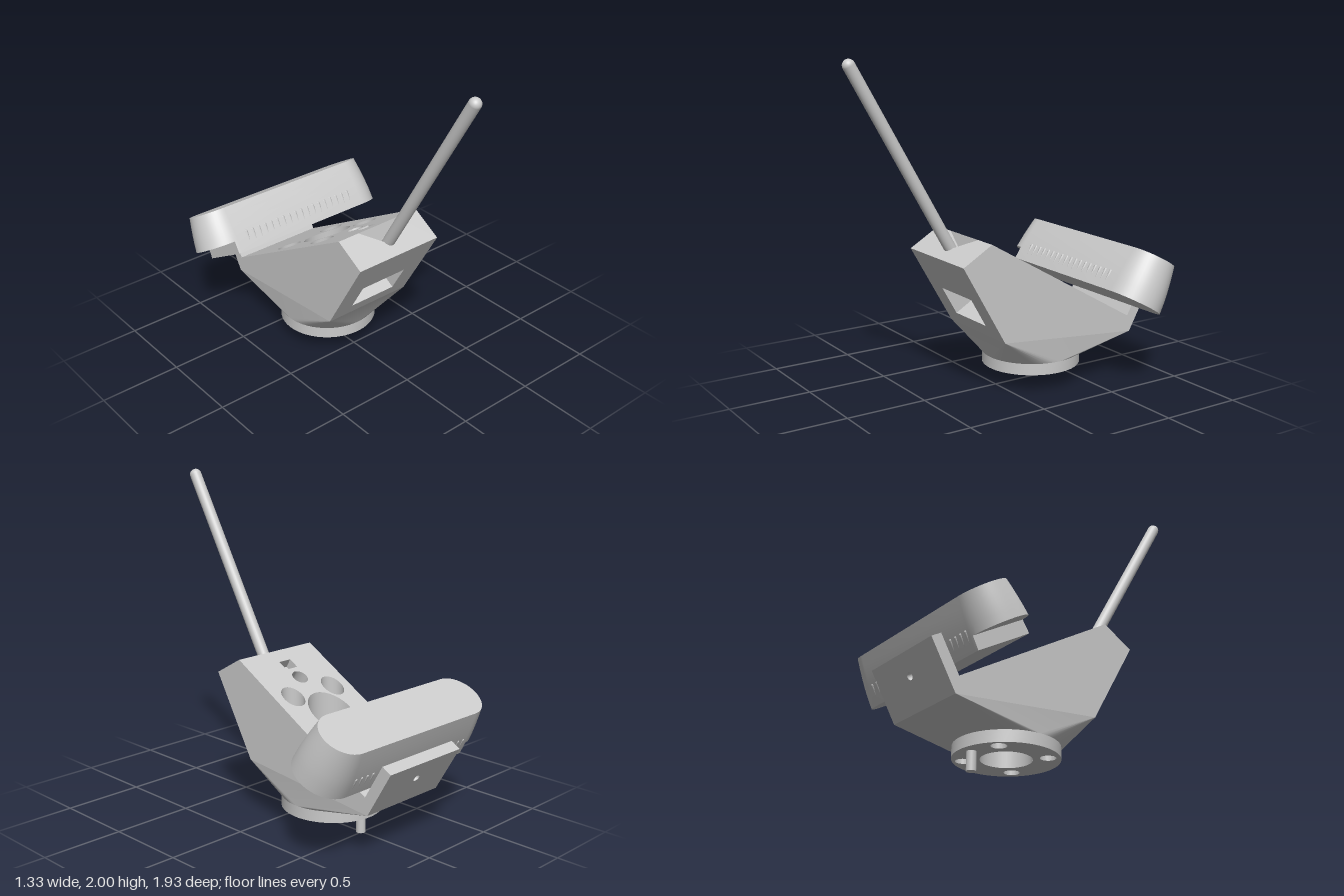
import * as THREE from 'three';
import { toCreasedNormals } from 'three/addons/utils/BufferGeometryUtils.js';

const V = (x, y, z) => new THREE.Vector3(x, y, z);
const mat = new THREE.MeshStandardMaterial({ color: 0xcccccc, side: THREE.DoubleSide });
const C30 = Math.cos(Math.PI / 6), S30 = 0.5, X = V(1, 0, 0);
const HW = 0.295;            // half width of the body
const BZ = -0.26;            // z of the base axis
// Body side profile corners (y, z)
const A = [0.845, 0.41], B = [0.955, 0.22], C = [0.378, -0.78], F = [0.275, -0.80], G = [0.36, 0.13];
const slopeY = z => B[0] - (B[1] - z) * S30 / C30;
const slopeS = z => (B[1] - z) / C30;

// Local frame: x stays x, z becomes the given normal
function frame(y, z, ny, nz) {
  const n = V(0, ny, nz);
  return new THREE.Matrix4().makeBasis(X, n.clone().cross(X), n).setPosition(0, y, z);
}
const slopeFrame = frame(B[0], B[1], C30, -S30);
const frontFrame = frame(G[0], G[1], -S30, C30);
const shoulderFrame = frame(A[0], A[1], C30, S30);
const cameraFrame = frame(0.53, -0.65, C30, -S30);

function fromTriangles(tris) {
  const good = tris.filter(([a, b, c]) => b.clone().sub(a).cross(c.clone().sub(a)).lengthSq() > 1e-14);
  const g = new THREE.BufferGeometry().setFromPoints(good.flat());
  g.computeVertexNormals();
  return toCreasedNormals(g, 0.5);
}

// Skin between successive closed loops, with optional end caps
function loft(loops, capStart, capEnd) {
  const t = [], n = loops[0].length;
  for (let k = 0; k + 1 < loops.length; k++)
    for (let i = 0; i < n; i++) {
      const j = (i + 1) % n, p = loops[k], q = loops[k + 1];
      t.push([p[i], p[j], q[j]], [p[i], q[j], q[i]]);
    }
  const cap = (l, flip) => {
    const mid = l.reduce((s, p) => s.add(p), V(0, 0, 0)).divideScalar(n);
    l.forEach((p, i) => t.push(flip ? [mid, l[(i + 1) % n], p] : [mid, p, l[(i + 1) % n]]));
  };
  if (capStart) cap(loops[0], true);
  if (capEnd) cap(loops[loops.length - 1], false);
  return fromTriangles(t);
}

// Horizontal-plan circle whose height follows a rule
const circle = (r, x, z, yOf, n = 40) => Array.from({ length: n }, (_, i) => {
  const a = i / n * Math.PI * 2, pz = z + r * Math.cos(a);
  return V(x + r * Math.sin(a), yOf(pz), pz);
});
const poly = pts => new THREE.Shape(pts.map(p => new THREE.Vector2(...p)));
const rect = (w, y0, y1) => [[-w, y0], [w, y0], [w, y1], [-w, y1]];
const ellipse = (x, y, rx, ry) => new THREE.Path().absellipse(x, y, rx, ry, 0, Math.PI * 2);
const lift = (pts, z) => pts.map(p => V(p[0], p[1], z));

export function createModel() {
  const model = new THREE.Group();
  const add = (name, geo, matrix, parent = model) => {
    if (matrix) geo.applyMatrix4(matrix);
    const m = new THREE.Mesh(geo, mat);
    m.name = name;
    parent.add(m);
    return m;
  };
  const body = new THREE.Group();
  body.name = 'body';
  model.add(body);

  // Sloped top with bore, bolt holes and two small recesses
  const bolts = [[-1, -0.43], [1, -0.43], [-1, -0.1], [1, -0.1]].map(([s, z]) => [s * 0.165, z]);
  const slope = poly(rect(HW, 0, slopeS(C[1])));
  const slot = rect(0.045, slopeS(0.14), slopeS(0.08));
  slope.holes.push(ellipse(0, slopeS(BZ), 0.145, 0.145 / C30), poly(slot), ellipse(0, slopeS(0.01), 0.05, 0.05));
  bolts.forEach(([x, z]) => slope.holes.push(ellipse(x, slopeS(z), 0.07, 0.07 / C30)));
  add('slopedTop', new THREE.ShapeGeometry(slope, 40), slopeFrame, body);
  add('slotRecess', loft([lift(slot, 0), lift(slot, -0.06)], false, true), slopeFrame, body);
  const dimple = Array.from({ length: 32 }, (_, i) => {
    const a = i / 16 * Math.PI;
    return [0.05 * Math.cos(a), slopeS(0.01) + 0.05 * Math.sin(a)];
  });
  add('screwRecess', loft([lift(dimple, 0), lift(dimple, -0.09)], false, true), slopeFrame, body);
  const screw = new THREE.TorusGeometry(0.025, 0.01, 8, 24).translate(0, slopeS(0.01), -0.08);
  add('screwHead', screw, slopeFrame, body);

  // Front face with a rectangular pocket
  const win = rect(0.16, 0.092, 0.289);
  const front = poly(rect(HW, 0, 0.56));
  front.holes.push(poly(win));
  add('frontFace', new THREE.ShapeGeometry(front), frontFrame, body);
  add('frontPocket', loft([lift(win, 0), lift(win, -0.22)], false, true), frontFrame, body);

  // Shoulder with a triangular notch around the rod
  const notch = [[-0.15, 0.22], [0, 0.07], [0.15, 0.22]];
  const shoulder = poly([[-HW, 0], [HW, 0], [HW, 0.22], ...notch.slice().reverse(), [-HW, 0.22]]);
  add('shoulder', new THREE.ShapeGeometry(shoulder), shoulderFrame, body);
  add('shoulderNotch', loft([lift(notch, 0), lift([[0, 0.15], [0, 0.15], [0, 0.15]], -0.08)]), shoulderFrame, body);

  // Flat sides, and the transition from the block down to the round base
  const at = (s, p) => V(s * HW, p[0], p[1]);
  const rim = a => V(0.3 * Math.sin(a), 0.18, BZ + 0.3 * Math.cos(a));
  const sides = [], skirt = [];
  for (const s of [1, -1]) {
    const tri = (list, a, b, c) => list.push(s > 0 ? [a, b, c] : [a, c, b]);
    const P = [A, G, F, C, B].map(p => at(s, p));
    for (let i = 1; i < 4; i++) tri(sides, P[0], P[i + 1], P[i]);
    tri(skirt, at(s, G), rim(s * Math.PI / 2), at(s, F));
    const N = 14, h = Math.PI / 2 / N;
    for (let i = 0; i < N; i++) {
      tri(skirt, at(s, G), rim(s * i * h), rim(s * (i + 1) * h));
      tri(skirt, at(s, F), rim(s * (i + N) * h), rim(s * (i + N + 1) * h));
    }
  }
  skirt.push([at(-1, G), rim(0), at(1, G)], [at(1, F), rim(Math.PI), at(-1, F)]);
  skirt.push([at(1, C), at(1, F), at(-1, F)], [at(1, C), at(-1, F), at(-1, C)]);
  add('sideWalls', fromTriangles(sides), null, body);
  add('skirt', fromTriangles(skirt), null, body);

  // Round base, bore and counterbored bolt holes
  const flat = y => () => y;
  add('baseRim', loft([circle(0.3, 0, BZ, flat(0.11), 56), circle(0.3, 0, BZ, flat(0.18), 56)]), null, body);
  const under = new THREE.Shape().absarc(0, BZ, 0.3, 0, Math.PI * 2);
  under.holes.push(ellipse(0, BZ, 0.145, 0.145));
  bolts.forEach(([x, z]) => under.holes.push(ellipse(x, z, 0.045, 0.045)));
  add('baseUnderside', new THREE.ShapeGeometry(under, 40).rotateX(Math.PI / 2).translate(0, 0.11, 0), null, body);
  add('centreBore', loft([circle(0.145, 0, BZ, slopeY), circle(0.145, 0, BZ, flat(0.11))]), null, body);
  bolts.forEach(([x, z]) => add('boltHole', loft([circle(0.07, x, z, slopeY), circle(0.07, x, z, flat(0.2)),
    circle(0.045, x, z, flat(0.2)), circle(0.045, x, z, flat(0.11))]), null, body));
  add('locatingPin', new THREE.CylinderGeometry(0.028, 0.028, 0.14, 24).translate(0, 0.07, -0.49));

  // Slanted rod with rounded ends
  const rod = add('rod', new THREE.CapsuleGeometry(0.036, 1.65, 8, 24));
  rod.rotation.x = Math.PI / 6;
  rod.position.set(0, 0.4125 + 0.965 * C30, 0.039 + 0.965 * S30);

  // Rear bracket with a screw hole
  const plate = poly(rect(HW, 0, 0.318));
  plate.holes.push(ellipse(0, 0.19, 0.022, 0.022));
  const bracket = add('rearBracket', new THREE.ExtrudeGeometry(plate, { depth: 0.067, bevelEnabled: false, curveSegments: 20 }));
  bracket.rotation.x = -Math.PI / 6;
  bracket.position.set(0, F[0], F[1]);

  // Camera: tapered stadium sections, stepped at the right-hand end
  const camera = new THREE.Group();
  camera.name = 'camera';
  model.add(camera);
  const half = h => 0.185 - 0.035 * Math.pow(h / 0.296, 1.6);
  const section = (h, xMin = -1) => Array.from({ length: 50 }, (_, i) => {
    const s = i < 25 ? 1 : -1, a = (i % 25) / 24 * Math.PI - Math.PI / 2;
    return V(Math.max(xMin, s * (0.48 + half(h) * Math.cos(a))), s * half(h) * Math.sin(a), h);
  });
  const shell = [section(0, -0.5), section(0.08, -0.5), ...[0.08, 0.13, 0.18, 0.24, 0.296].map(h => section(h))];
  add('cameraShell', loft(shell, true, true), cameraFrame, camera);

  // Vent slots along the front and at both ends of the back
  const vent = (x, side) => {
    const g = new THREE.CapsuleGeometry(0.011, 0.055, 4, 8).rotateX(Math.PI / 2);
    add('vent', g.translate(x, side * (half(0.085) - 0.008), 0.085), cameraFrame, camera);
  };
  for (let i = 0; i < 18; i++) vent(-0.4 + i * 0.047, -1);
  for (const s of [-1, 1]) for (let i = 0; i < 4; i++) vent(s * (0.32 + i * 0.045), 1);
  return model;
}
